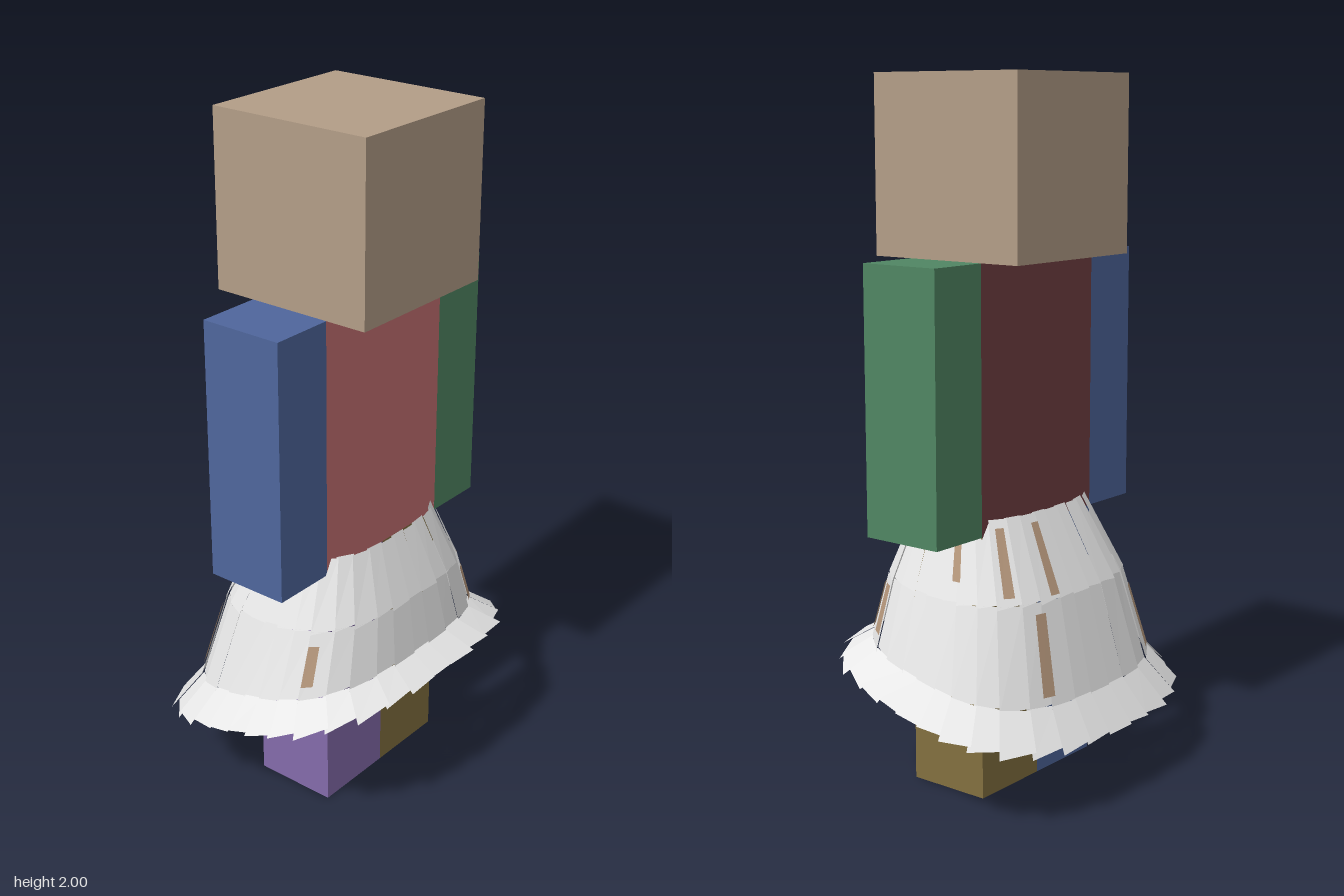
import * as THREE from 'three';

const mat = (name, color, double = false) => {
  const m = new THREE.MeshStandardMaterial({ color });
  m.name = name;
  m.flatShading = true;
  if (double) m.side = THREE.DoubleSide;
  return m;
};

// Skirt rings: half width, z at back and front, y at back and front
const RINGS = [
  { hx: 0.26, zb: -0.13, zf: 0.21, yb: 0.8, yf: 0.8 },
  { hx: 0.345, zb: -0.24, zf: 0.275, yb: 0.58, yf: 0.62 },
  { hx: 0.415, zb: -0.308, zf: 0.3, yb: 0.305, yf: 0.455 },
  { hx: 0.495, zb: -0.38, zf: 0.38, yb: 0.203, yf: 0.41 },
];
const COUNT = 34;
const STEP = (Math.PI * 2) / COUNT;

// Point on a rounded-rectangle ring, grown outward by `grow`
function ringPoint(ring, angle, grow) {
  const c = Math.cos(angle), s = Math.sin(angle);
  const r = Math.pow(Math.abs(c) ** 3 + Math.abs(s) ** 3, -1 / 3);
  const t = (s * r + 1) / 2;
  return new THREE.Vector3(
    c * r * (ring.hx + grow),
    ring.yb + (ring.yf - ring.yb) * t,
    (ring.zb + ring.zf) / 2 + s * r * ((ring.zf - ring.zb) / 2 + grow)
  );
}

// Adds one flat slat spanning part of a tier
function addSlat(out, tier, angle, width, grow, v0 = 0, v1 = 1, skew = 0) {
  const corner = (a, v) =>
    ringPoint(RINGS[tier], a, grow).lerp(ringPoint(RINGS[tier + 1], a, grow), v);
  const a0 = angle - width / 2, a1 = angle + width / 2;
  const tl = corner(a0, v0), tr = corner(a1, v0);
  const bl = corner(a0, v1 + skew), br = corner(a1, v1 - skew);
  for (const p of [tl, br, bl, tl, tr, br]) out.push(p.x, p.y, p.z);
}

function slatMesh(name, positions, material) {
  const geo = new THREE.BufferGeometry();
  geo.setAttribute('position', new THREE.Float32BufferAttribute(positions, 3));
  geo.computeVertexNormals();
  const mesh = new THREE.Mesh(geo, material);
  mesh.name = name;
  return mesh;
}

export function createModel() {
  const group = new THREE.Group();
  group.name = 'blockFigure';

  const tan = mat('tan', 0xb39d87);
  const red = mat('red', 0xc47071);
  const maroon = mat('maroon', 0x713f42);
  const blue = mat('blue', 0x4f669c);
  const green = mat('green', 0x508663);
  const olive = mat('olive', 0x83703f);
  const purple = mat('purple', 0x846baa);
  const white = mat('white', 0xeeeeee, true);
  const patchTan = mat('patchTan', 0xb3957a, true);

  const block = (name, x0, x1, y0, y1, z0, z1, material) => {
    const mesh = new THREE.Mesh(new THREE.BoxGeometry(x1 - x0, y1 - y0, z1 - z0), material);
    mesh.position.set((x0 + x1) / 2, (y0 + y1) / 2, (z0 + z1) / 2);
    mesh.name = name;
    group.add(mesh);
  };

  // Body blocks; face order is +x, -x, top, bottom, front, back
  const back = -0.09, front = 0.16;
  block('head', -0.25, 0.248, 1.502, 2, -0.213, 0.285, tan);
  block('torso', -0.25, 0.248, 0.755, 1.502, back, front, [red, red, red, red, red, maroon]);
  block('leftArm', 0.248, 0.435, 0.755, 1.502, back, front, green);
  block('rightArm', -0.44, -0.25, 0.755, 1.502, back, front, blue);
  block('leftLeg', 0, 0.248, 0, 0.755, back, front, olive);
  block('rightLeg', -0.25, 0, 0, 0.755, back, front, [blue, purple, blue, blue, purple, blue]);

  // Skirt: three tiers of overlapping slats
  const names = ['skirtUpperTier', 'skirtMiddleTier', 'skirtHem'];
  names.forEach((name, tier) => {
    const slats = [];
    for (let i = 0; i < COUNT; i++) {
      const angle = (i + 0.5) * STEP;
      const grow = (i % 2) * 0.006;
      const skew = Math.sin(angle * 2) * (tier === 2 ? 0.1 : 0.03);
      addSlat(slats, tier, angle, STEP * 1.12, grow, 0, 1.01, skew);
    }
    group.add(slatMesh(name, slats, white));
  });

  // Thin patches: tier, angle in degrees, top and bottom fraction
  const patches = [
    [0, -20, 0.2, 0.75], [0, -48, 0.1, 0.9], [0, -72, 0.1, 0.95],
    [1, 34, 0.1, 0.8], [1, 48, 0.2, 0.9], [1, -62, 0.1, 0.9],
    [1, -132, 0.2, 0.9], [1, 146, 0.2, 0.8],
  ];
  const plates = [];
  for (const [tier, deg, v0, v1] of patches)
    addSlat(plates, tier, (deg * Math.PI) / 180, STEP * 0.5, 0.009, v0, v1);
  group.add(slatMesh('skirtPatches', plates, patchTan));

  return group;
}
